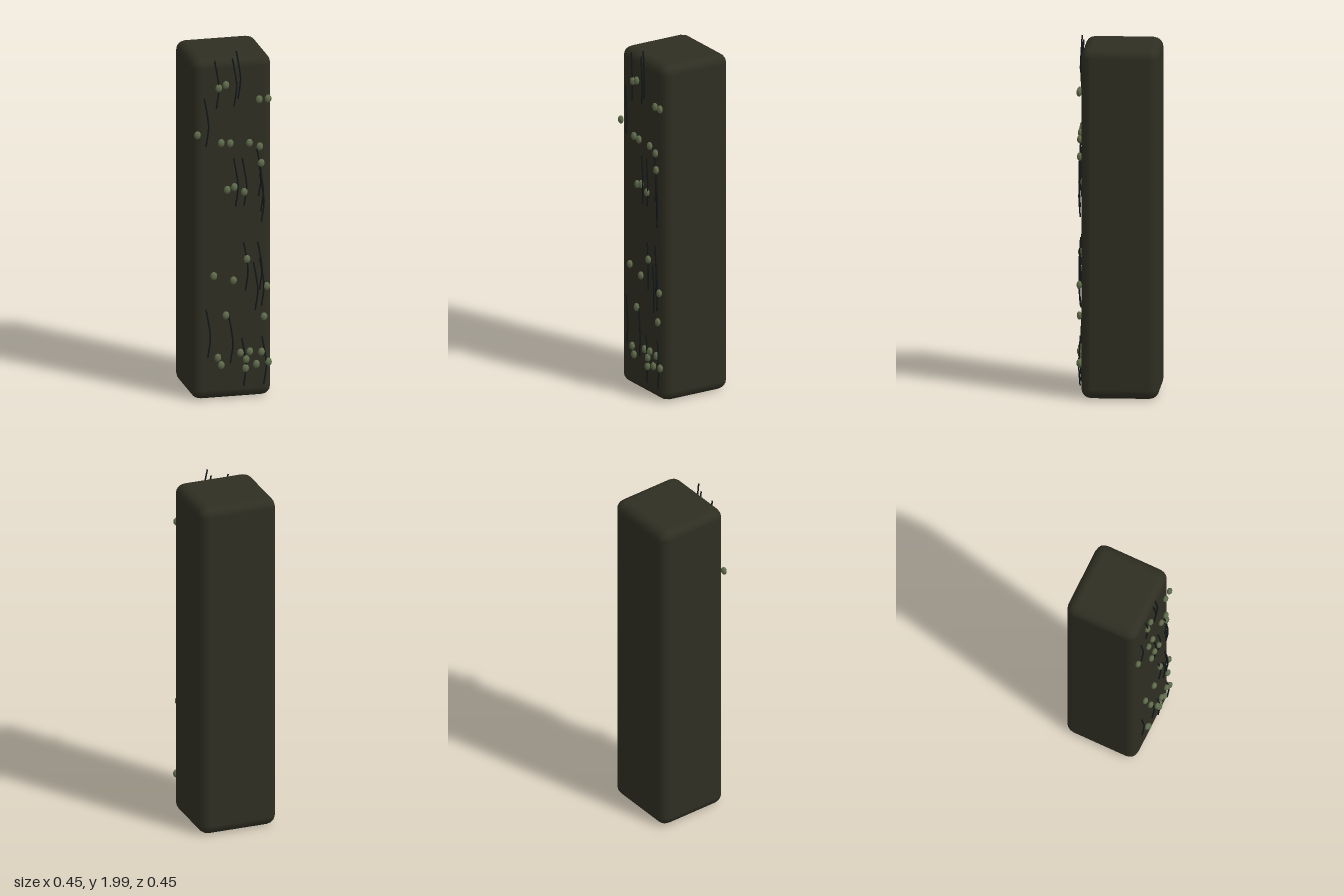
import * as THREE from 'three';
import { RoundedBoxGeometry } from 'three/addons/geometries/RoundedBoxGeometry.js';

const stone = new THREE.MeshStandardMaterial({ color: 0x2f2e22 });
stone.name = 'dark stone';
const lichen = new THREE.MeshStandardMaterial({ color: 0x5f6b4c });
lichen.name = 'lichen green';
const black = new THREE.MeshStandardMaterial({ color: 0x11171a });
black.name = 'strand black';

// Lichen bud centres [x, y] on the front face
const BUDS = [
  [-0.2, 1.53], [-0.08, 1.79], [-0.04, 1.805], [0.148, 1.71], [0.198, 1.71],
  [-0.066, 1.475], [-0.016, 1.47], [0.093, 1.465], [0.151, 1.44], [0.159, 1.345],
  [-0.032, 1.205], [0.008, 1.217], [0.064, 1.186], [0.079, 0.8], [-0.108, 0.716],
  [0.003, 0.684], [0.19, 0.637], [-0.04, 0.486], [0.175, 0.464], [-0.085, 0.247],
  [-0.066, 0.203], [0.042, 0.266], [0.095, 0.27], [0.074, 0.227], [0.071, 0.176],
  [0.132, 0.195], [0.161, 0.263], [0.2, 0.203],
];

// Upper end [x, y] of each hanging strand
const STRANDS = [
  [-0.103, 1.948], [0.019, 1.995], [-0.003, 1.955], [-0.161, 1.735],
  [0.005, 1.38], [0.053, 1.38], [0.135, 1.43], [0.147, 1.34], [0.151, 1.285],
  [0.061, 0.895], [0.14, 0.895], [0.116, 0.78], [0.151, 0.8],
  [-0.151, 0.525], [-0.024, 0.485], [0.05, 0.35], [0.164, 0.35],
];

export function createModel() {
  const model = new THREE.Group();
  model.name = 'mossyPillar';

  // Rounded slab
  const pillar = new THREE.Mesh(new RoundedBoxGeometry(0.45, 1.952, 0.427, 2, 0.055), stone);
  pillar.name = 'pillar';
  pillar.position.set(0, 0.979, -0.0135);
  model.add(pillar);

  // Small egg-shaped buds
  const buds = new THREE.Group();
  buds.name = 'lichenBuds';
  const budGeometry = new THREE.SphereGeometry(1, 12, 8).scale(0.019, 0.023, 0.0145);
  for (const [x, y] of BUDS) {
    const bud = new THREE.Mesh(budGeometry, lichen);
    bud.name = 'lichenBud';
    bud.position.set(x, y, 0.21);
    buds.add(bud);
  }
  model.add(buds);

  // Thin strands that bow sideways and slightly outward
  const strands = new THREE.Group();
  strands.name = 'strands';
  const path = new THREE.CatmullRomCurve3([
    new THREE.Vector3(0, 0, 0.205),
    new THREE.Vector3(0.014, -0.08, 0.209),
    new THREE.Vector3(0.023, -0.16, 0.212),
    new THREE.Vector3(0.01, -0.275, 0.206),
  ]);
  const strandGeometry = new THREE.TubeGeometry(path, 14, 0.0045, 5, false);
  for (const [x, y] of STRANDS) {
    const strand = new THREE.Mesh(strandGeometry, black);
    strand.name = 'strand';
    strand.position.set(x, y, 0);
    strands.add(strand);
  }
  model.add(strands);

  return model;
}
